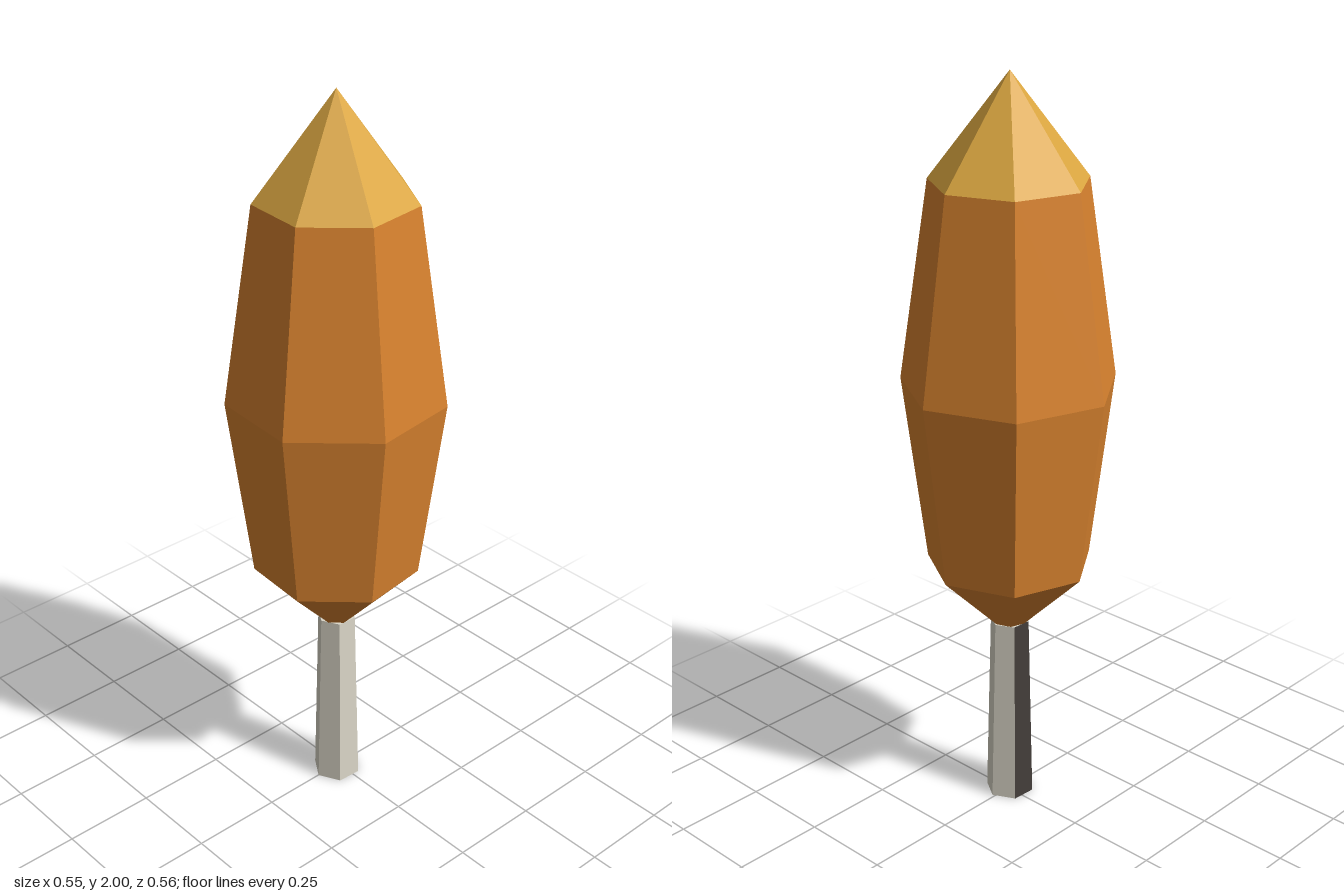
import * as THREE from 'three';

const flat = (name, color) => new THREE.MeshStandardMaterial({ name, color, flatShading: true });
const rad = THREE.MathUtils.degToRad;

export function createModel() {
  const bark = flat('pale bark', 0xdcd7c8);
  const darkBark = flat('dark bark', 0x433e3a);
  const foliage = flat('orange foliage', 0xd9832f);
  const tipLeaves = flat('golden foliage', 0xdca741);

  const tree = new THREE.Group();
  tree.name = 'tree';
  tree.position.set(-0.01, 0, 0.004);

  const add = (name, geometry, material) => {
    const mesh = new THREE.Mesh(geometry, material);
    mesh.name = name;
    tree.add(mesh);
  };

  // Tapered six-sided trunk; the side facing the back is dark bark
  const trunk = new THREE.CylinderGeometry(0.053, 0.066, 0.53, 6, 1, false, rad(27));
  trunk.translate(0, 0.265, 0);
  trunk.clearGroups();
  trunk.addGroup(0, 12, 0);
  trunk.addGroup(12, 6, 1);
  trunk.addGroup(18, 54, 0);
  add('trunk', trunk, [bark, darkBark]);

  // Seven-sided crown, turned from [radius, height] rings
  const turned = (rings) => new THREE.LatheGeometry(
    rings.map(([r, y]) => new THREE.Vector2(r, y)), 7, rad(85.2));
  add('crown', turned([[0, 0.527], [0.045, 0.527], [0.222, 0.705], [0.286, 1.205], [0.207, 1.73]]), foliage);
  add('crownTip', turned([[0.207, 1.73], [0, 2]]), tipLeaves);

  const model = new THREE.Group();
  model.name = 'autumnTree';
  model.add(tree);
  return model;
}
